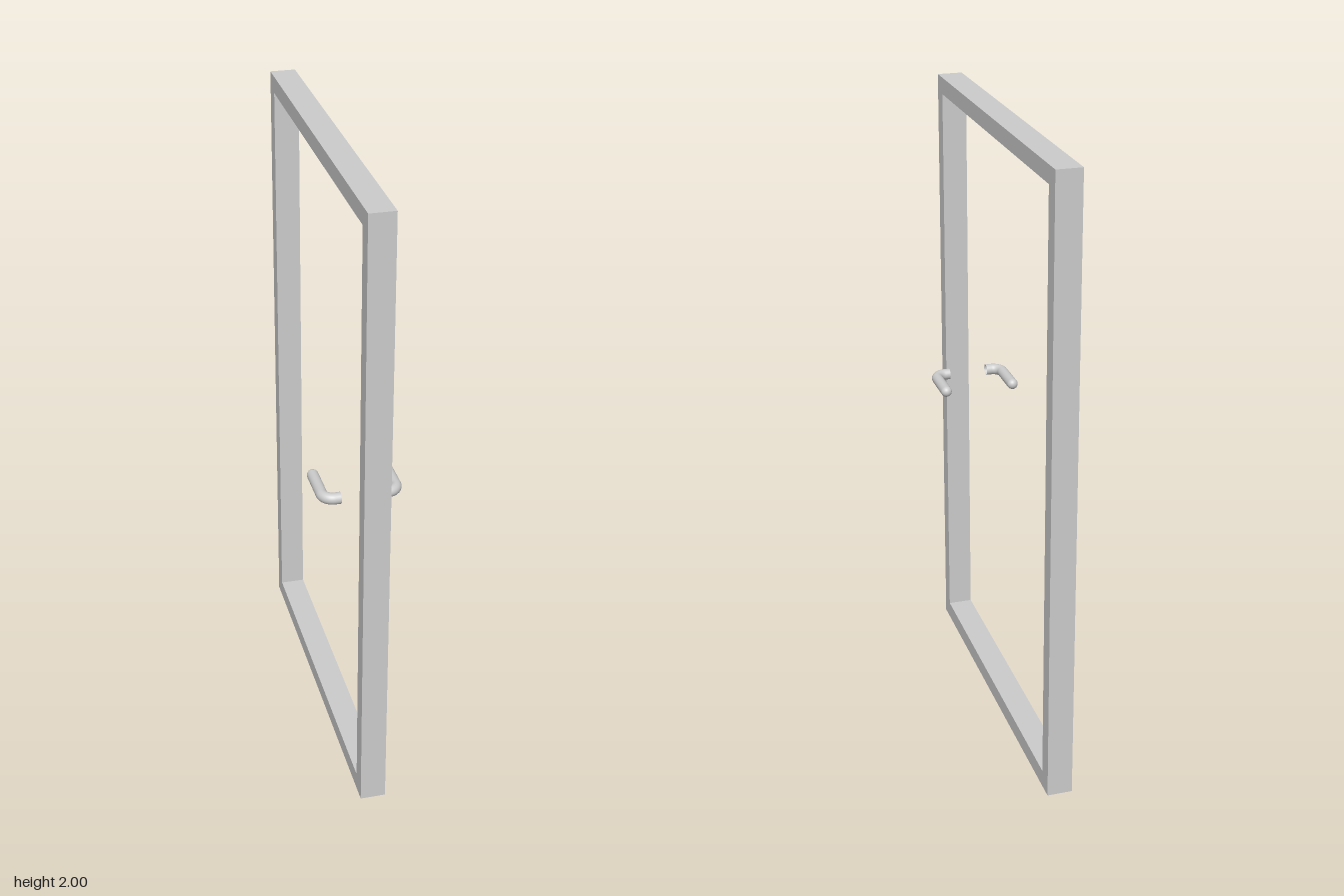
import * as THREE from 'three';

const grey = new THREE.MeshStandardMaterial({ color: 0xcccccc });
const greyOpen = new THREE.MeshStandardMaterial({ color: 0xcccccc, side: THREE.DoubleSide });

// Rectangle outline, used for both the frame and its opening
function rectangle(path, x0, y0, x1, y1) {
  path.moveTo(x0, y0);
  path.lineTo(x1, y0);
  path.lineTo(x1, y1);
  path.lineTo(x0, y1);
  path.closePath();
  return path;
}

// Rectangular door frame with one large opening
function makeFrame() {
  const depth = 0.08;
  const shape = rectangle(new THREE.Shape(), -0.6, 0, 0.6, 2);
  shape.holes.push(rectangle(new THREE.Path(), -0.547, 0.056, 0.547, 1.946));
  const geometry = new THREE.ExtrudeGeometry(shape, { depth, bevelEnabled: false });
  geometry.translate(0, 0, -depth / 2);
  geometry.rotateY(Math.PI / 2);
  const frame = new THREE.Mesh(geometry, grey);
  frame.name = 'doorFrame';
  return frame;
}

// Lever handle: short stem, rounded bend, straight grip with a domed tip
function makeHandle(side, name) {
  const radius = 0.018, bend = 0.033, k = bend * 0.4477;
  const stemX = 0.064, gripX = 0.114, stemZ = 0.418, tipZ = 0.273;
  const point = (x, z) => new THREE.Vector3(side * x, 0, z);

  const path = new THREE.CurvePath();
  const bendStart = point(gripX - bend, stemZ);
  const bendEnd = point(gripX, stemZ - bend);
  path.add(new THREE.LineCurve3(point(stemX, stemZ), bendStart));
  path.add(new THREE.CubicBezierCurve3(
    bendStart, point(gripX - k, stemZ), point(gripX, stemZ - k), bendEnd));
  path.add(new THREE.LineCurve3(bendEnd, point(gripX, tipZ)));

  const lever = new THREE.Mesh(new THREE.TubeGeometry(path, 48, radius, 24), greyOpen);
  lever.name = 'lever';

  const dome = new THREE.SphereGeometry(radius, 24, 8, 0, Math.PI * 2, 0, Math.PI / 2);
  dome.rotateX(-Math.PI / 2);
  const tip = new THREE.Mesh(dome, greyOpen);
  tip.position.copy(point(gripX, tipZ));
  tip.name = 'leverTip';

  const handle = new THREE.Group();
  handle.name = name;
  handle.position.y = 1.022;
  handle.add(lever, tip);
  return handle;
}

export function createModel() {
  const model = new THREE.Group();
  model.name = 'doorFrameWithHandles';
  model.add(makeFrame(), makeHandle(1, 'leftHandle'), makeHandle(-1, 'rightHandle'));
  return model;
}
